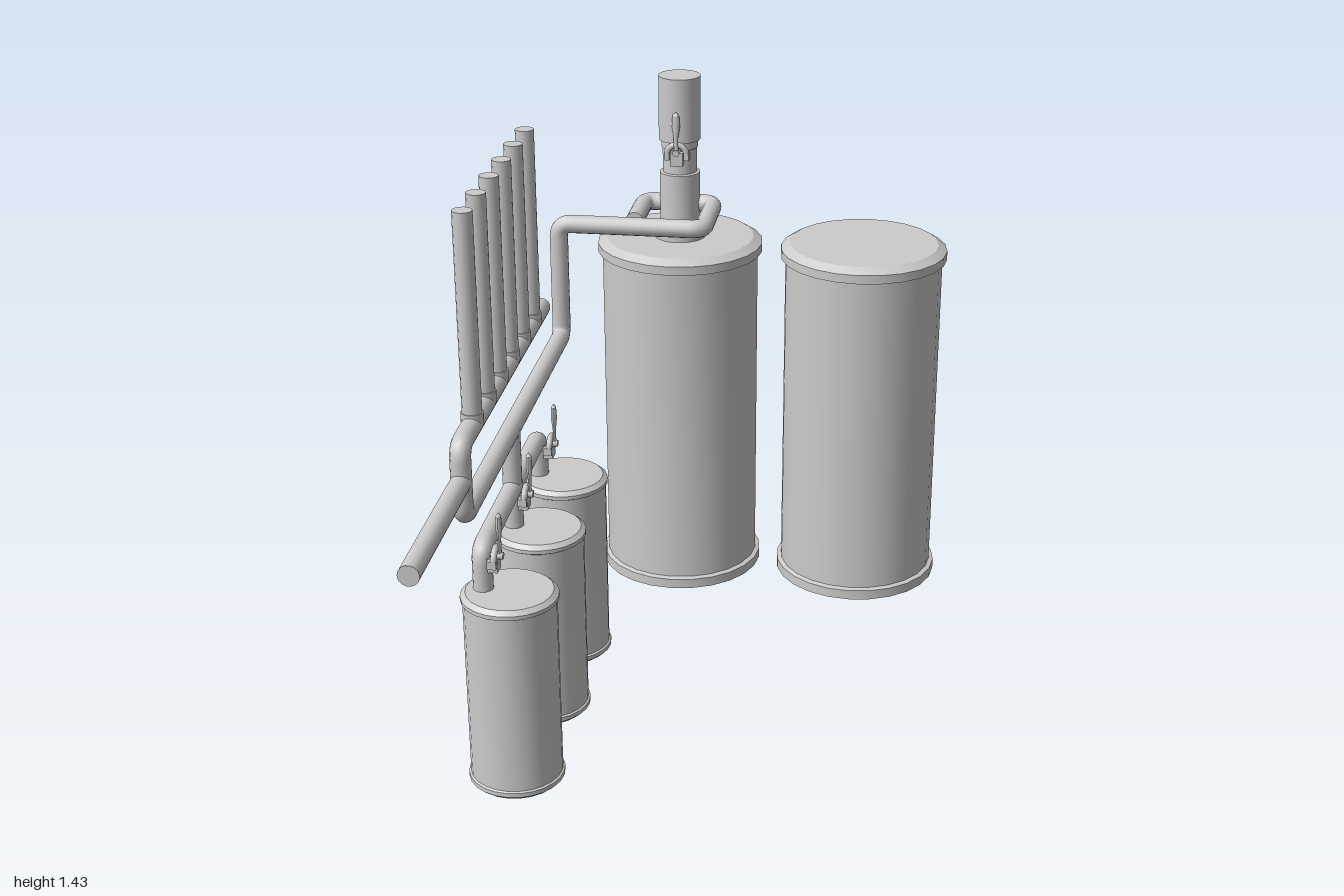
import * as THREE from 'three';
import { toCreasedNormals } from 'three/addons/utils/BufferGeometryUtils.js';

const material = new THREE.MeshStandardMaterial({ color: 0xcccccc });
const PIPE_R = 0.024;
const PIPE_X = -0.483;
const V = (x, y, z) => new THREE.Vector3(x, y, z);

function add(parent, name, geometry, x = 0, y = 0, z = 0) {
  const mesh = new THREE.Mesh(geometry, material);
  mesh.name = name;
  mesh.position.set(x, y, z);
  parent.add(mesh);
  return mesh;
}

// Turned solid from [radius, height] pairs, with crisp rims
function turned(profile, sides = 24) {
  const points = profile.map(([r, y]) => new THREE.Vector2(r, y));
  return toCreasedNormals(new THREE.LatheGeometry(points, sides), 0.4);
}

// Capped pipe through corner points, with rounded elbows
function pipe(parent, name, corners, segments, bend = 0.035, r = PIPE_R) {
  const path = new THREE.CurvePath();
  let from = corners[0];
  for (let i = 1; i < corners.length - 1; i++) {
    const c = corners[i];
    const a = c.clone().add(corners[i - 1].clone().sub(c).setLength(bend));
    const b = c.clone().add(corners[i + 1].clone().sub(c).setLength(bend));
    path.add(new THREE.LineCurve3(from, a));
    path.add(new THREE.QuadraticBezierCurve3(a, c, b));
    from = b;
  }
  const end = corners[corners.length - 1];
  path.add(new THREE.LineCurve3(from, end));
  const group = new THREE.Group();
  group.name = name;
  add(group, name + 'Run', new THREE.TubeGeometry(path, segments, r, 14));
  const ends = [[corners[0], corners[1]], [end, corners[corners.length - 2]]];
  for (const [p, inner] of ends) {
    const cap = add(group, name + 'Cap', new THREE.CircleGeometry(r, 14), p.x, p.y, p.z);
    cap.quaternion.setFromUnitVectors(V(0, 0, 1), p.clone().sub(inner).normalize());
  }
  parent.add(group);
}

// Lever valve that sticks out along its own +z
function leverValve(name) {
  const group = new THREE.Group();
  group.name = name;
  add(group, 'valveArch', new THREE.TorusGeometry(0.026, 0.008, 8, 14, Math.PI), 0, 0.005, 0.012);
  for (const side of [-1, 1]) {
    add(group, 'valveLug', new THREE.BoxGeometry(0.014, 0.02, 0.022), side * 0.026, 0, 0.008);
  }
  add(group, 'valveBlock', new THREE.BoxGeometry(0.034, 0.036, 0.026), 0, -0.008, 0.006);
  const stem = add(group, 'valveStem', new THREE.CylinderGeometry(0.009, 0.009, 0.04, 10), 0, 0.012, 0.01);
  stem.rotation.x = Math.PI / 2;
  const lever = add(group, 'valveLever', turned([
    [0, 0], [0.006, 0.002], [0.006, 0.045], [0.011, 0.075], [0.009, 0.105], [0, 0.115],
  ], 12), 0, 0.008, 0.022);
  lever.scale.z = 0.7;
  return group;
}

export function createModel() {
  const model = new THREE.Group();

  // Large storage tanks
  const bigTank = turned([
    [0, 0], [0.185, 0], [0.224, 0.018], [0.224, 0.045], [0.212, 0.049],
    [0.212, 0.945], [0.224, 0.949], [0.224, 0.973], [0.2, 0.988], [0, 0.988],
  ]);
  add(model, 'largeTankRight', bigTank, -0.191, 0, -0.776);
  add(model, 'largeTankLeft', bigTank, 0.309, 0, -0.776);

  // Outlet tower on the right-hand large tank
  add(model, 'outletTower', turned([
    [0, 0.98], [0.07, 0.98], [0.07, 1.004], [0.054, 1.006], [0.054, 1.168],
    [0.046, 1.17], [0.046, 1.235], [0.049, 1.237], [0.049, 1.256],
    [0.056, 1.258], [0.056, 1.43], [0, 1.43],
  ]), -0.191, 0, -0.776);
  const towerValve = leverValve('towerValve');
  towerValve.position.set(-0.191, 1.225, -0.73);
  model.add(towerValve);

  // Main line: manifold, return bend, lower run, riser and tower connection
  pipe(model, 'mainPipe', [
    V(PIPE_X, 0.935, -0.318), V(PIPE_X, 0.935, 0.552), V(PIPE_X, 0.763, 0.552),
    V(PIPE_X, 0.763, -0.563), V(PIPE_X, 1.077, -0.563), V(-0.1, 1.077, -0.563),
    V(-0.1, 1.077, -0.785), V(-0.191, 1.077, -0.785),
  ], 300);
  pipe(model, 'towerStubPipe', [
    V(-0.191, 1.077, -0.785), V(-0.288, 1.077, -0.785), V(-0.288, 1.077, -0.608),
  ], 40);
  pipe(model, 'feedPipe', [V(PIPE_X, 0.85, 0.552), V(PIPE_X, 0.85, 1)], 1);

  // Row of upright pipes on the manifold
  for (let i = 0; i < 6; i++) {
    const z = 0.43 - i * 0.126;
    add(model, 'uprightPipe', new THREE.CylinderGeometry(0.023, 0.023, 0.5, 14), PIPE_X, 1.185, z);
    add(model, 'uprightCollar', new THREE.CylinderGeometry(0.026, 0.026, 0.03, 14), PIPE_X, 0.95, z);
  }

  // Branch line feeding the small tanks
  const tankZ = [0.406, 0.074, -0.229];
  pipe(model, 'branchPipe', [
    V(PIPE_X, 0.49, tankZ[0]), V(PIPE_X, 0.61, tankZ[0]),
    V(PIPE_X, 0.61, tankZ[2]), V(PIPE_X, 0.49, tankZ[2]),
  ], 100);
  pipe(model, 'dropPipe', [V(PIPE_X, 0.763, tankZ[1]), V(PIPE_X, 0.49, tankZ[1])], 1);

  // Small tanks, each with a lever valve
  const smallTank = turned([
    [0, 0], [0.105, 0], [0.116, 0.01], [0.116, 0.021], [0.111, 0.024],
    [0.111, 0.485], [0.116, 0.488], [0.116, 0.498], [0.104, 0.508], [0, 0.508],
  ]);
  for (const z of tankZ) {
    add(model, 'smallTank', smallTank, -0.421, 0, z);
    const valve = leverValve('smallTankValve');
    valve.position.set(-0.462, 0.583, z);
    valve.rotation.y = Math.PI / 2;
    model.add(valve);
  }

  return model;
}
